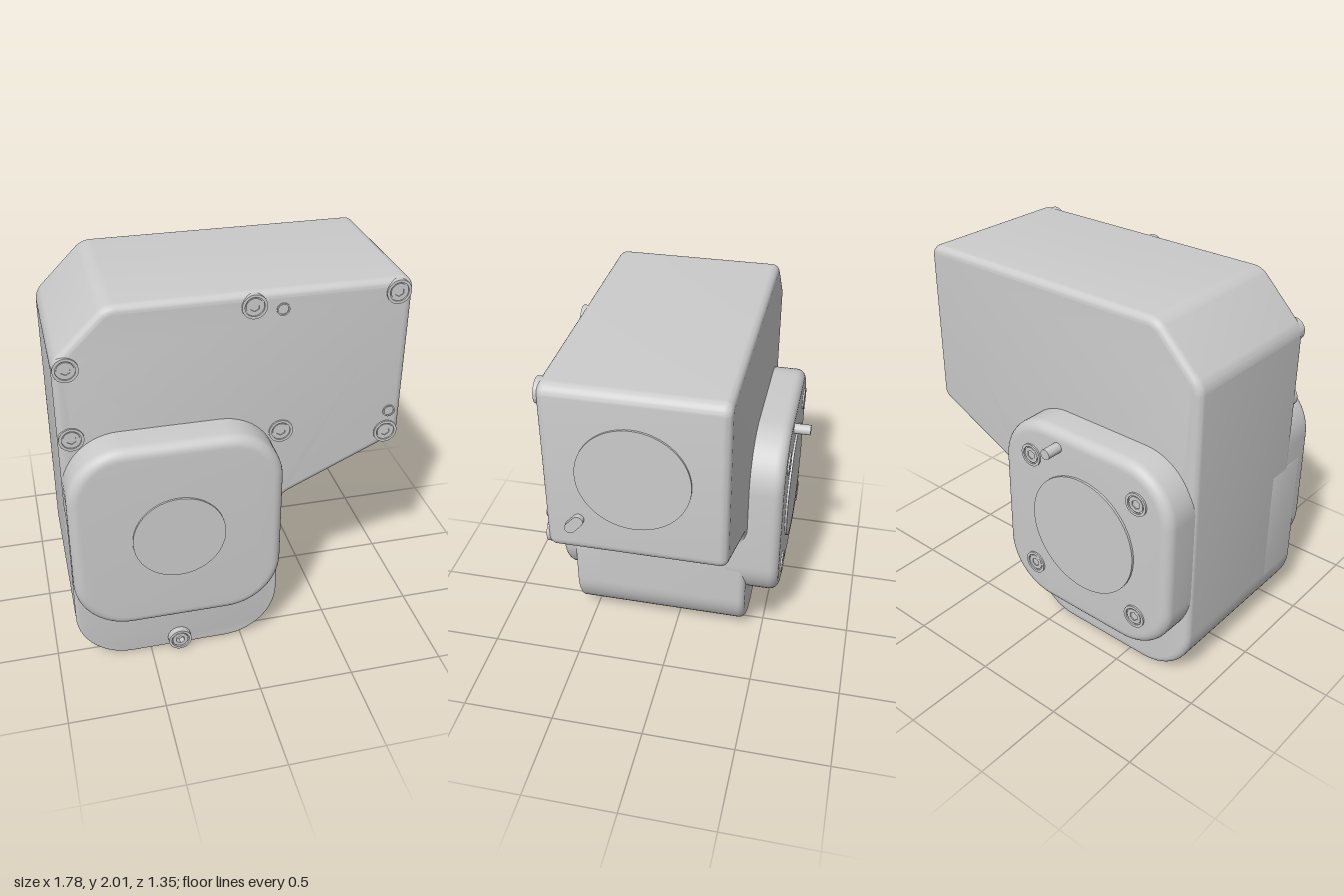
import * as THREE from 'three';
import { toCreasedNormals } from 'three/addons/utils/BufferGeometryUtils.js';

const material = new THREE.MeshStandardMaterial({ color: 0xcccccc });

// Closed outline from corners [x, y, radius], each rounded with a tangent arc
function roundedShape(corners) {
  const shape = new THREE.Shape();
  const n = corners.length;
  corners.forEach(([x, y, r], i) => {
    const p = new THREE.Vector2(x, y);
    const a = corners[(i + n - 1) % n], b = corners[(i + 1) % n];
    const toPrev = new THREE.Vector2(a[0], a[1]).sub(p).normalize();
    const toNext = new THREE.Vector2(b[0], b[1]).sub(p).normalize();
    const turn = Math.PI - Math.acos(toPrev.dot(toNext));
    const t = r * Math.tan(turn / 2);
    const h = t - (4 / 3) * Math.tan(turn / 4) * r;
    const at = (d, s) => p.clone().addScaledVector(d, s);
    const start = at(toPrev, t), c1 = at(toPrev, h), c2 = at(toNext, h), end = at(toNext, t);
    if (i === 0) shape.moveTo(start.x, start.y);
    else shape.lineTo(start.x, start.y);
    shape.bezierCurveTo(c1.x, c1.y, c2.x, c2.y, end.x, end.y);
  });
  shape.closePath();
  return shape;
}

// Extrude a shape from z0 to z1, with an inward edge rounding
function slab(name, shape, z0, z1, bevel = 0, curveSegments = 14) {
  const geometry = new THREE.ExtrudeGeometry(shape, {
    depth: z1 - z0 - 2 * bevel, curveSegments,
    bevelEnabled: bevel > 0, bevelThickness: bevel, bevelSize: bevel, bevelOffset: -bevel, bevelSegments: 7,
  });
  geometry.translate(0, 0, z0 + bevel);
  const mesh = new THREE.Mesh(toCreasedNormals(geometry, 0.4), material);
  mesh.name = name;
  return mesh;
}

// Cylinder along z
function disc(name, x, y, r, z0, z1, segments = 64) {
  const geometry = new THREE.CylinderGeometry(r, r, z1 - z0, segments);
  geometry.rotateX(Math.PI / 2).translate(x, y, (z0 + z1) / 2);
  const mesh = new THREE.Mesh(geometry, material);
  mesh.name = name;
  return mesh;
}

function circle(r, Type = THREE.Shape) {
  const c = new Type();
  c.absarc(0, 0, r, 0, Math.PI * 2, false);
  return c;
}

function ring(name, x, y, outer, inner, z0, z1) {
  const shape = circle(outer);
  shape.holes.push(circle(inner, THREE.Path));
  const mesh = slab(name, shape, z0, z1, 0, 28);
  mesh.position.set(x, y, 0);
  return mesh;
}

// Socket screw: collar, head with a hexagonal socket, and the socket floor
function screw(name, x, y, z, headHeight = 0.006) {
  const group = new THREE.Group();
  group.name = name;
  const head = circle(0.042);
  const hex = new THREE.Path();
  for (let i = 0; i < 6; i++) {
    const a = (i * Math.PI) / 3 + Math.PI / 6;
    hex[i ? 'lineTo' : 'moveTo'](0.025 * Math.cos(a), 0.025 * Math.sin(a));
  }
  hex.closePath();
  head.holes.push(hex);
  group.add(
    disc('seat', 0, 0, 0.06, z - 0.06, z + 0.001, 32),
    ring('collar', 0, 0, 0.062, 0.048, z - 0.06, z + headHeight + 0.003),
    slab('head', head, z - 0.02, z + headHeight, 0, 28),
  );
  group.position.set(x, y, 0);
  return group;
}

const CX = -0.345, CY = 0.8; // axis of the lower joint
const capShape = () => roundedShape([
  [-0.888, 0.26, 0.29], [0.196, 0.26, 0.29], [0.196, 1.343, 0.29], [-0.888, 1.343, 0.29],
]);

export function createModel() {
  const model = new THREE.Group();
  model.name = 'jointHousing';

  // Main housing
  const profile = roundedShape([
    [-0.89, 0, 0.29], [0.197, 0, 0.29], [0.197, 0.8, 0.17], [0.862, 1.112, 0.06],
    [0.862, 2, 0.06], [-0.63, 2, 0.12], [-0.89, 1.74, 0.12],
  ]);
  model.add(slab('housing', profile, -0.405, 0.475, 0.04));

  // Thicker lower front lip behind the front cover
  const lip = roundedShape([
    [-0.89, 0, 0.29], [0.197, 0, 0.29], [0.197, 0.95, 0.03], [-0.89, 0.95, 0.03],
  ]);
  model.add(slab('lowerLip', lip, 0.3, 0.58, 0.015));

  // Front joint cover with its round plate
  model.add(slab('frontCover', capShape(), 0.3, 0.66, 0.055));
  model.add(disc('frontPlate', CX, CY, 0.237, 0.64, 0.67));

  // Housing screws and small sockets
  const screws = [[0.07, 1.932], [0.785, 1.934], [-0.825, 1.708], [-0.825, 1.332], [0.22, 1.232], [0.785, 1.15]];
  screws.forEach(([x, y]) => model.add(screw('housingScrew', x, y, 0.475)));
  model.add(screw('bottomScrew', CX, 0.057, 0.58, 0.032));
  for (const [x, y] of [[0.21, 1.903], [0.795, 1.27]])
    model.add(ring('smallSocket', x, y, 0.032, 0.025, 0.44, 0.481));

  // Rear joint cover, modelled facing +z and turned around
  const rear = new THREE.Group();
  rear.name = 'rearJoint';
  const cover = slab('rearCover', capShape(), 0.25, 0.585, 0.055);
  cover.position.x = -2 * CX - 0.002;
  rear.add(cover, disc('rearPlate', -CX, CY, 0.328, 0.56, 0.597));
  for (const sx of [-1, 1])
    for (const sy of [-1, 1])
      rear.add(screw('rearScrew', -CX + sx * 0.34, CY + sy * 0.34, 0.585));
  rear.add(disc('rearPin', 0.185, 1.252, 0.028, 0.55, 0.675, 24));
  rear.rotation.y = Math.PI;
  model.add(rear);

  // Side joint plate and oblong stop on the +x face
  const side = new THREE.Group();
  side.name = 'sideJoint';
  side.add(disc('sidePlate', -0.04, 1.555, 0.274, 0.84, 0.872));
  const stop = slab('sideStop', roundedShape([
    [-0.058, -0.027, 0.0265], [0.058, -0.027, 0.0265], [0.058, 0.027, 0.0265], [-0.058, 0.027, 0.0265],
  ]), 0.83, 0.888);
  stop.position.set(-0.33, 1.27, 0);
  stop.rotation.z = 0.85;
  side.add(stop);
  side.rotation.y = Math.PI / 2;
  model.add(side);

  return model;
}
